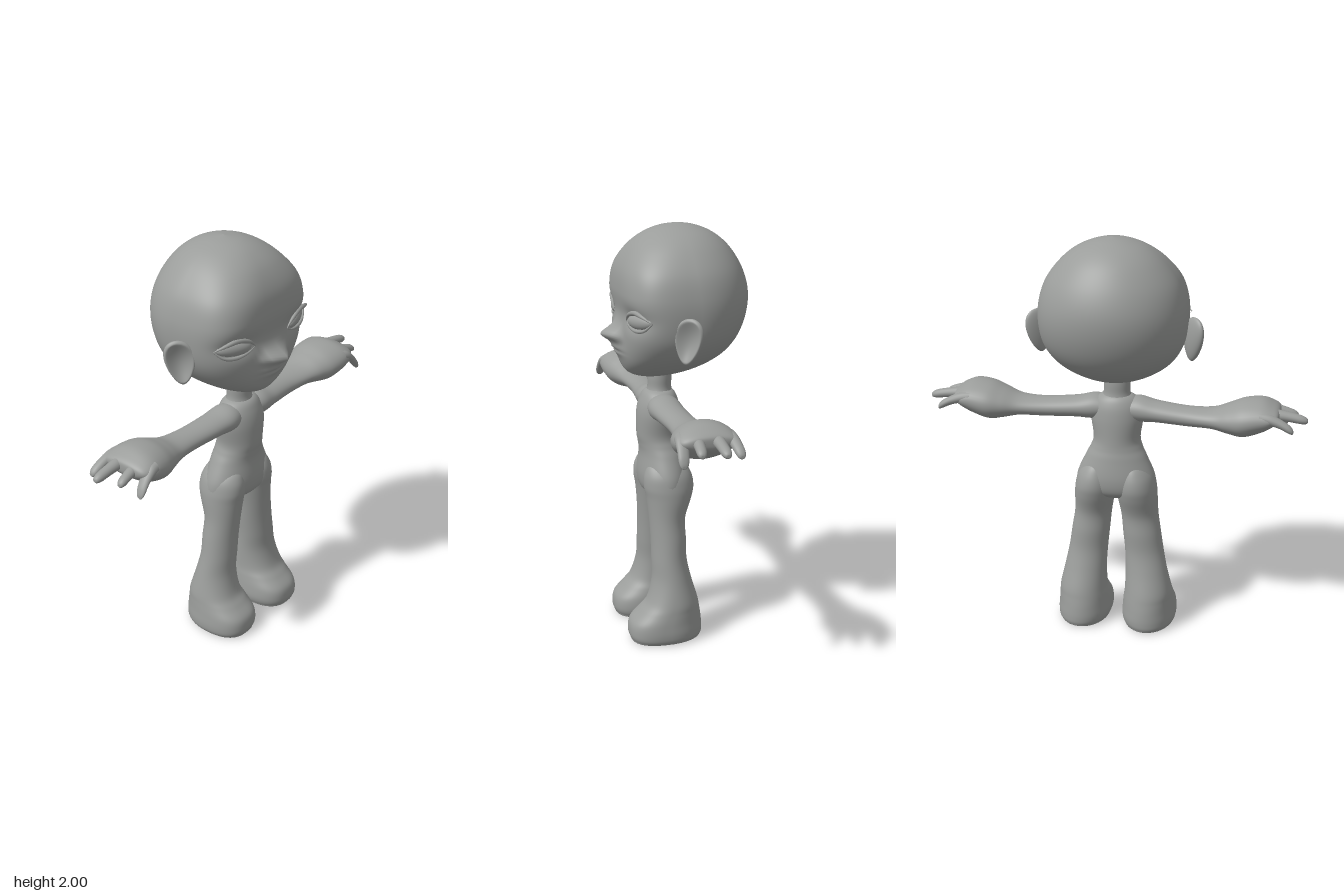
import * as THREE from 'three';
import { mergeVertices } from 'three/addons/utils/BufferGeometryUtils.js';

const clay = new THREE.MeshStandardMaterial({ color: 0x9b9d9b });
clay.name = 'clay grey';

// Weld, make faces point outward, and smooth the normals
function finish(geo) {
  geo.deleteAttribute('normal');
  geo.deleteAttribute('uv');
  geo = mergeVertices(geo, 1e-5);
  const p = geo.attributes.position, ix = geo.index.array;
  const a = new THREE.Vector3(), b = new THREE.Vector3(), c = new THREE.Vector3();
  let volume = 0;
  for (let i = 0; i < ix.length; i += 3) {
    a.fromBufferAttribute(p, ix[i]);
    b.fromBufferAttribute(p, ix[i + 1]);
    c.fromBufferAttribute(p, ix[i + 2]);
    volume += a.dot(b.cross(c));
  }
  if (volume < 0) for (let i = 0; i < ix.length; i += 3) [ix[i], ix[i + 1]] = [ix[i + 1], ix[i]];
  geo.computeVertexNormals();
  return geo;
}

function spline(p0, p1, p2, p3, t) {
  const m1 = (p2 - p0) / 2, m2 = (p3 - p1) / 2, d = p1 - p2;
  return ((2 * d + m1 + m2) * t + (-3 * d - 2 * m1 - m2)) * t * t + m1 * t + p1;
}

// Loft rows of [along, min1, max1, zMin, zMax, frontExponent]; axis 'y' rings lie in xz, axis 'x' rings in yz
function loft(rows, axis, { seg = 40, steps = 6, shape } = {}) {
  const pos = [], index = [];
  const row = i => rows[Math.min(Math.max(i, 0), rows.length - 1)];
  const rings = (rows.length - 1) * steps;
  for (let k = 0; k <= rings; k++) {
    const i = Math.min(Math.floor(k / steps), rows.length - 2), t = k / steps - i;
    const r = [0, 1, 2, 3, 4, 5].map(j =>
      spline(...[-1, 0, 1, 2].map(o => row(i + o)[j] ?? 2), t));
    const ends = [row(i)[0], row(i + 1)[0]];
    r[0] = THREE.MathUtils.clamp(r[0], Math.min(...ends), Math.max(...ends));
    for (let s = 0; s < seg; s++) {
      const angle = s / seg * Math.PI * 2, co = Math.cos(angle), si = Math.sin(angle);
      const e = si > 0 ? 2 / r[5] : 1;
      const u = (r[1] + r[2]) / 2 + (r[2] - r[1]) / 2 * Math.sign(co) * Math.abs(co) ** e;
      const z = (r[3] + r[4]) / 2 + (r[4] - r[3]) / 2 * Math.sign(si) * Math.abs(si) ** e;
      const v = axis === 'y' ? new THREE.Vector3(u, r[0], z) : new THREE.Vector3(r[0], u, z);
      if (shape) shape(v);
      pos.push(v.x, v.y, v.z);
      if (k < rings) {
        const a = k * seg + s, b = k * seg + (s + 1) % seg;
        index.push(a, b, a + seg, b, b + seg, a + seg);
      }
    }
  }
  const geo = new THREE.BufferGeometry();
  geo.setAttribute('position', new THREE.Float32BufferAttribute(pos, 3));
  geo.setIndex(index);
  return finish(geo);
}

// Soft bumps that model the face: [x, y, width, height, depth]
const bumps = [
  [0, 1.497, 0.055, 0.036, 0.078], [0, 1.54, 0.035, 0.04, 0.012],
  [0, 1.43, 0.075, 0.035, 0.028], [0, 1.422, 0.07, 0.008, -0.012],
  [0.06, 1.49, 0.025, 0.022, 0.015], [-0.06, 1.49, 0.025, 0.022, 0.015],
  [0.21, 1.595, 0.1, 0.045, -0.022], [-0.21, 1.595, 0.1, 0.045, -0.022],
];
function sculptFace(v) {
  const ramp = THREE.MathUtils.smoothstep(v.z, 0.08, 0.2);
  for (const [x, y, w, h, d] of bumps)
    v.z += ramp * d * Math.exp(-(((v.x - x) / w) ** 2) - ((v.y - y) / h) ** 2);
}

// Cupped ear, hollow on its +z side and narrower at the lobe
function earGeometry() {
  const geo = new THREE.SphereGeometry(1, 40, 32);
  const p = geo.attributes.position;
  for (let i = 0; i < p.count; i++) {
    const x = p.getX(i), y = p.getY(i), z = p.getZ(i);
    const hollow = z > 0 ? 0.055 * Math.max(0, 1 - (x * x + y * y) * 1.25) : 0;
    p.setXYZ(i, x * 0.068 * (1 + 0.3 * y) + 0.012 * y, y * 0.108, z * 0.028 - hollow * 0.75);
  }
  geo.rotateY(0.8);
  geo.translate(0.37, 1.52, 0.035);
  return finish(geo);
}

function eyeGeometry() {
  const geo = new THREE.SphereGeometry(1, 32, 20);
  geo.scale(0.09, 0.036, 0.032);
  geo.rotateZ(0.08);
  geo.rotateY(0.38);
  geo.translate(0.22, 1.59, 0.217);
  return finish(geo);
}

// Eyelid rim that thins out at both corners
function lidGeometry(points, radius) {
  const curve = new THREE.CatmullRomCurve3(points.map(q => new THREE.Vector3(...q)));
  const geo = new THREE.TubeGeometry(curve, 24, radius, 8);
  const p = geo.attributes.position, v = new THREE.Vector3();
  for (let i = 0; i < p.count; i++) {
    const t = Math.floor(i / 9) / 24, c = curve.getPointAt(t);
    v.fromBufferAttribute(p, i).sub(c).multiplyScalar(0.15 + 0.85 * Math.sin(Math.PI * t)).add(c);
    p.setXYZ(i, v.x, v.y, v.z);
  }
  return finish(geo);
}

// Drooping finger with a rounded tip
function fingerGeometry([z0, z1, tipX, tipY, r]) {
  const rows = [0, 0.3, 0.6, 0.85, 0.96, 1, 1].map((t, i) => {
    const x = 0.7 + (tipX - 0.7) * t, y = 1.185 + (tipY - 1.185) * t * t, z = z0 + (z1 - z0) * t;
    const s = r * [1.2, 1.15, 1, 0.9, 0.65, 0.3, 0][i];
    return [x, y - s * 0.9, y + s * 0.9, z - s, z + s, 2];
  });
  return loft(rows, 'x', { seg: 16, steps: 4 });
}

export function createModel() {
  const model = new THREE.Group();
  const add = (name, geo) => {
    const mesh = new THREE.Mesh(geo, clay);
    mesh.name = name;
    model.add(mesh);
  };
  const addPair = (name, geo) => {
    add('left ' + name, geo);
    add('right ' + name, finish(geo.clone().scale(-1, 1, 1)));
  };
  // Rows symmetric about x = 0: [y, halfWidth, back, front, exponent]
  const symmetric = rows => rows.map(([y, w, b, f, n = 2]) => [y, -w, w, b, f, n]);

  // Round skull with a flatter face
  add('head', loft(symmetric([
    [2, 0, -0.02, -0.02], [1.985, 0.085, -0.105, 0.075], [1.95, 0.17, -0.185, 0.15, 2.2],
    [1.89, 0.245, -0.255, 0.215, 2.6], [1.8, 0.312, -0.312, 0.263, 3.2], [1.7, 0.343, -0.342, 0.277, 3.5],
    [1.6, 0.347, -0.338, 0.268, 3.5], [1.5, 0.33, -0.305, 0.272, 3.1], [1.42, 0.283, -0.25, 0.27, 2.7],
    [1.36, 0.215, -0.17, 0.26, 2.4], [1.315, 0.135, -0.07, 0.235, 2.1], [1.293, 0.07, 0.04, 0.19],
    [1.285, 0, 0.12, 0.12],
  ]), 'y', { seg: 96, steps: 10, shape: sculptFace }));

  addPair('ear', earGeometry());
  addPair('eye', eyeGeometry());
  addPair('upper eyelid', lidGeometry(
    [[0.337, 1.608, 0.2], [0.29, 1.627, 0.228], [0.22, 1.633, 0.245], [0.155, 1.612, 0.258], [0.115, 1.578, 0.258]], 0.012));
  addPair('lower eyelid', lidGeometry(
    [[0.33, 1.603, 0.19], [0.285, 1.563, 0.218], [0.22, 1.55, 0.24], [0.155, 1.558, 0.252], [0.115, 1.578, 0.258]], 0.009));

  add('neck', loft(symmetric([
    [1.37, 0.06, 0.02, 0.12], [1.28, 0.064, 0.015, 0.128], [1.22, 0.066, 0.015, 0.13], [1.17, 0.09, 0, 0.15],
  ]), 'y'));

  add('torso', loft(symmetric([
    [1.222, 0, 0.07, 0.07], [1.213, 0.075, 0.015, 0.135], [1.17, 0.118, -0.012, 0.165], [1.1, 0.128, -0.025, 0.182],
    [1, 0.115, -0.03, 0.183], [0.95, 0.127, -0.035, 0.175], [0.9, 0.152, -0.045, 0.17], [0.8, 0.194, -0.058, 0.178],
    [0.73, 0.185, -0.045, 0.165], [0.695, 0.09, 0, 0.12], [0.685, 0, 0.06, 0.06],
  ]), 'y', { seg: 56, steps: 8 }));

  // Legs swell into soft, rounded feet
  addPair('leg', loft([
    [0.9, 0.08, 0.08, 0.06, 0.06, 2], [0.87, 0.04, 0.14, -0.02, 0.14, 2], [0.82, 0.012, 0.182, -0.054, 0.17, 2],
    [0.76, 0.004, 0.2, -0.066, 0.175, 2], [0.7, 0.008, 0.206, -0.054, 0.165, 2], [0.6, 0.025, 0.21, -0.02, 0.155, 2],
    [0.5, 0.035, 0.225, -0.02, 0.15, 2], [0.4, 0.045, 0.24, -0.02, 0.15, 2], [0.3, 0.05, 0.26, -0.04, 0.152, 2],
    [0.2, 0.048, 0.283, -0.068, 0.178, 2.2], [0.15, 0.04, 0.29, -0.078, 0.217, 2.4], [0.1, 0.033, 0.296, -0.086, 0.262, 2.6],
    [0.05, 0.03, 0.3, -0.09, 0.272, 2.6], [0.015, 0.04, 0.294, -0.085, 0.264, 2.6], [0, 0.06, 0.27, -0.06, 0.24, 2.5],
    [0, 0.165, 0.165, 0.08, 0.08, 2],
  ], 'y', { seg: 44, steps: 6 }));

  // Slim arms that widen into broad hands
  addPair('arm', loft([
    [0, 1.12, 1.18, 0.02, 0.12, 2], [0.1, 1.085, 1.208, 0, 0.155, 2], [0.2, 1.088, 1.19, -0.005, 0.145, 2],
    [0.35, 1.085, 1.178, -0.015, 0.13, 2], [0.47, 1.085, 1.183, -0.035, 0.14, 2], [0.55, 1.07, 1.212, -0.065, 0.165, 2],
    [0.62, 1.06, 1.238, -0.085, 0.19, 2], [0.7, 1.085, 1.244, -0.083, 0.2, 2], [0.755, 1.12, 1.225, -0.075, 0.19, 2],
    [0.785, 1.15, 1.205, -0.045, 0.15, 2], [0.79, 1.18, 1.18, 0.05, 0.05, 2],
  ], 'x'));

  // [root z, tip z, tip x, tip y, radius]
  [[-0.045, -0.06, 0.86, 1.13, 0.025], [0.02, 0.022, 0.92, 1.16, 0.026],
    [0.1, 0.118, 0.87, 1.15, 0.025], [0.165, 0.182, 0.815, 1.09, 0.027]]
    .forEach((f, i) => addPair('finger ' + (i + 1), fingerGeometry(f)));

  return model;
}
